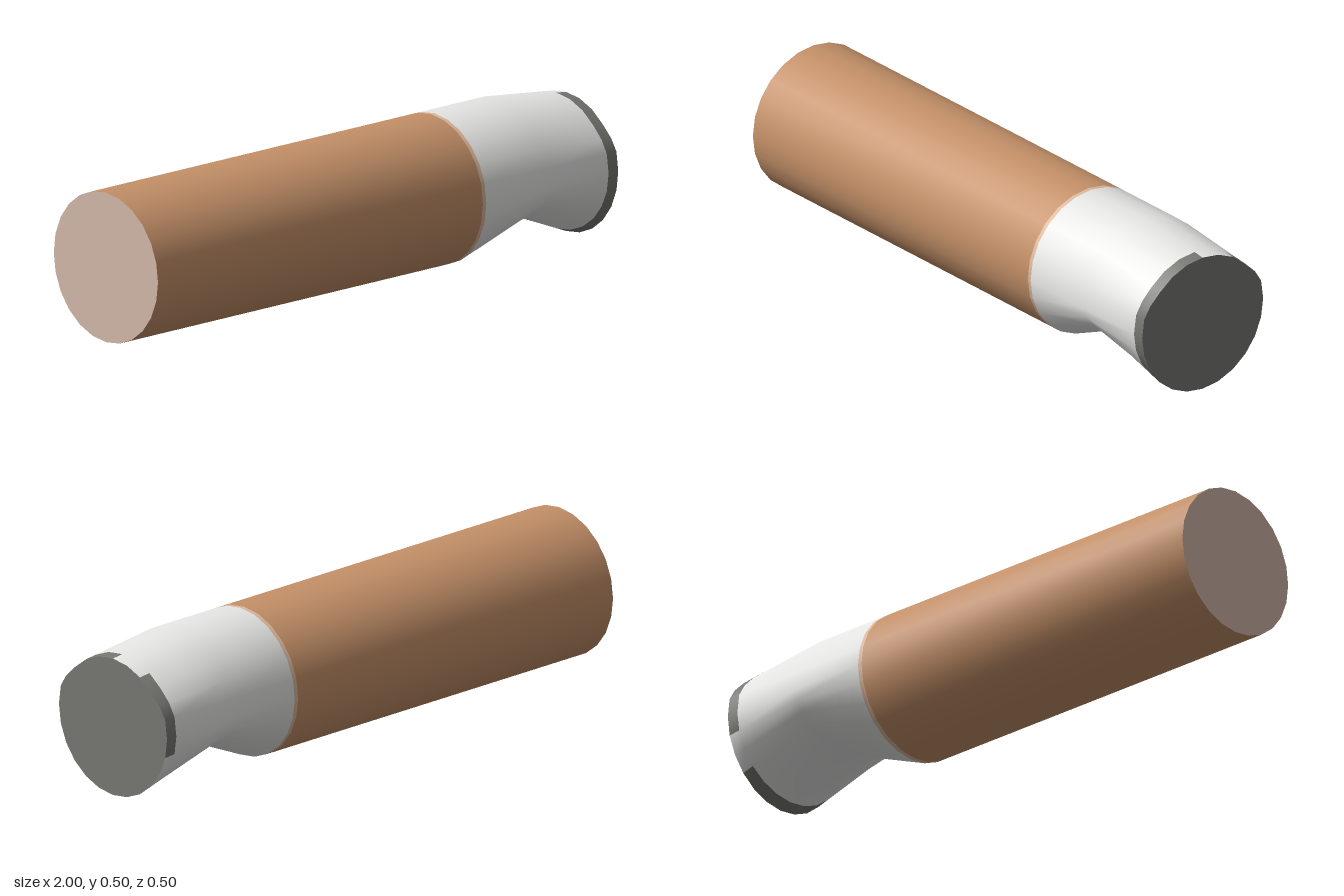
import * as THREE from 'three';

const SIDES = 24;
const R = 0.25;

const paint = (name, color) => {
  const m = new THREE.MeshStandardMaterial({ color });
  m.name = name;
  return m;
};

// Height of a ring point: full circle, lower half pinched, crown lowered.
function ringPoint(x, j, floor, sag) {
  const a = (j / SIDES) * Math.PI * 2;
  const s = Math.sin(a);
  let y = s < 0 ? R + s * (R - floor) : R + s * R;
  y -= sag * THREE.MathUtils.clamp((s - 0.26) / 0.4, 0, 1);
  return [x, y, Math.cos(a) * R];
}

export function createModel() {
  const group = new THREE.Group();
  const orange = paint('orangeBrown', 0xc49068);
  const peach = paint('palePeach', 0xdcb89e);
  const white = paint('offWhite', 0xe6e6e5);
  const grey = paint('ashGrey', 0x777772);
  const tan = paint('paleTan', 0xd3b9ab);

  // Cross-sections along the length: x, lowest point, drop of the crown
  const rings = [
    [-1, 0, 0], [0.412, 0, 0], [0.427, 0, 0],
    [0.705, 0.12, 0], [0.958, 0.017, 0.03], [1, 0, 0.035],
  ];
  const points = rings.map(([x, floor, sag]) =>
    Array.from({ length: SIDES }, (_, j) => ringPoint(x, j, floor, sag)));

  // One smooth skin, divided into coloured parts that share its normals
  const parts = { filter: [], seam: [], wrapper: [], ashEdge: [] };
  const bandParts = ['filter', 'seam', 'wrapper', 'wrapper', 'ashEdge'];
  const cleanSegments = [6, 7, 13, 14]; // gaps in the ash edge
  const all = [];
  bandParts.forEach((part, i) => {
    for (let j = 0; j < SIDES; j++) {
      const k = (j + 1) % SIDES;
      const a = i * SIDES + j, b = a + SIDES;
      const d = i * SIDES + k, c = d + SIDES;
      const quad = [a, b, c, a, c, d];
      const target = part === 'ashEdge' && cleanSegments.includes(j) ? 'wrapper' : part;
      parts[target].push(...quad);
      all.push(...quad);
    }
  });
  const skin = new THREE.BufferGeometry();
  skin.setAttribute('position', new THREE.Float32BufferAttribute(points.flat(2), 3));
  skin.setIndex(all);
  skin.computeVertexNormals();

  const materials = { filter: orange, seam: peach, wrapper: white, ashEdge: grey };
  for (const [name, index] of Object.entries(parts)) {
    const geometry = skin.clone();
    geometry.setIndex(index);
    const mesh = new THREE.Mesh(geometry, materials[name]);
    mesh.name = name;
    group.add(mesh);
  }

  // Flat end discs
  function addCap(name, ring, facing, material) {
    const centre = [ring[0][0], 0.24, 0];
    const verts = [];
    for (let j = 0; j < SIDES; j++) {
      const p = ring[j], q = ring[(j + 1) % SIDES];
      verts.push(...centre, ...(facing > 0 ? [...q, ...p] : [...p, ...q]));
    }
    const geometry = new THREE.BufferGeometry();
    geometry.setAttribute('position', new THREE.Float32BufferAttribute(verts, 3));
    geometry.computeVertexNormals();
    const mesh = new THREE.Mesh(geometry, material);
    mesh.name = name;
    group.add(mesh);
  }
  addCap('filterEnd', points[0], -1, tan);
  addCap('ashEnd', points[points.length - 1], 1, grey);

  return group;
}
